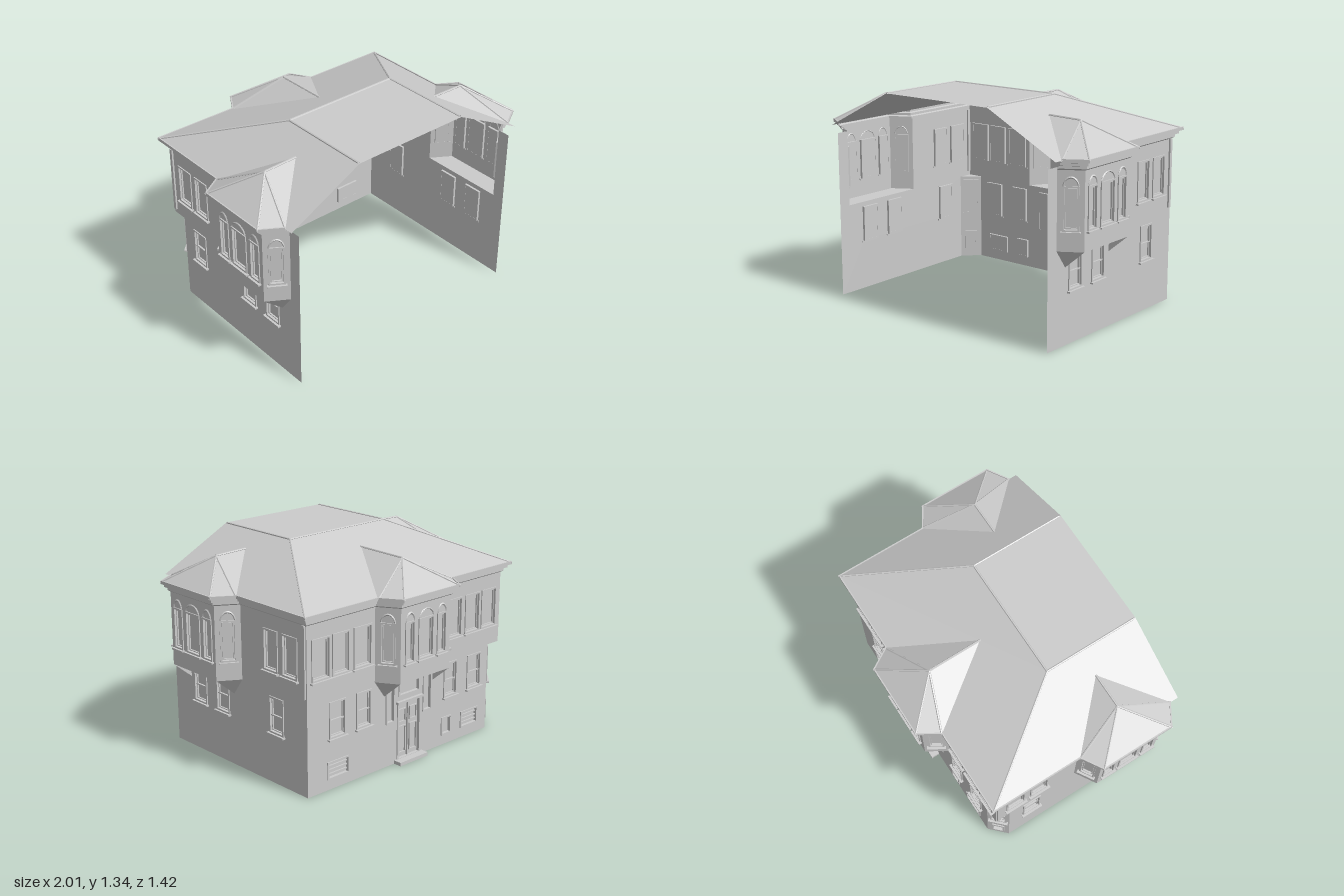
import * as THREE from 'three';

const grey = new THREE.MeshStandardMaterial({ color: 0xcccccc, side: THREE.DoubleSide, flatShading: true });

function mesh(geometry, name, parent, x = 0, y = 0, z = 0) {
  const m = new THREE.Mesh(geometry, grey);
  m.name = name;
  m.position.set(x, y, z);
  parent.add(m);
  return m;
}

const box = (name, parent, w, h, d, x, y, z) => mesh(new THREE.BoxGeometry(w, h, d), name, parent, x, y, z);

// Flat polygons, each a loop of [x, y, z] corners
function faces(polygons, name, parent) {
  const pos = [];
  for (const p of polygons)
    for (let i = 1; i < p.length - 1; i++) pos.push(...p[0], ...p[i], ...p[i + 1]);
  const g = new THREE.BufferGeometry();
  g.setAttribute('position', new THREE.Float32BufferAttribute(pos, 3));
  g.computeVertexNormals();
  return mesh(g, name, parent);
}

// Rectangular rim of four bars around an opening
function rim(name, parent, x, y, w, h, t, d, z) {
  for (const s of [-1, 1]) {
    box(name, parent, t, h + t, d, x + s * w / 2, y, z);
    box(name, parent, w - t, t, d, x, y + s * h / 2, z);
  }
}

// Recessed opening with glazing, frame, sill and optional bars or arch
function opening(parent, u, o) {
  const { w, y0, y1, kind } = o, h = y1 - y0, cy = (y0 + y1) / 2;
  const g = new THREE.Group();
  g.name = kind === 'door' ? 'door' : 'window';
  parent.add(g);
  mesh(new THREE.PlaneGeometry(w, h), 'pane', g, u, cy, -0.014);
  rim('frame', g, u, cy, w, h, 0.01, 0.022, -0.004);
  if (kind === 'door') {
    box('doorGap', g, 0.008, h, 0.012, u, cy, -0.008);
    for (const s of [-1, 1]) {
      rim('doorPanel', g, u + s * w / 4, y0 + 0.12, w * 0.3, 0.17, 0.006, 0.012, -0.01);
      rim('doorPanel', g, u + s * w / 4, y0 + 0.275, w * 0.3, 0.08, 0.006, 0.012, -0.01);
    }
    box('lintel', g, w + 0.03, 0.015, 0.03, u, y1 + 0.005, 0.005);
    return;
  }
  if (kind === 'grille') {
    for (let i = 1; i < 4; i++) box('bar', g, w, 0.007, 0.01, u, y0 + h * i / 4, -0.007);
    return;
  }
  if (kind === 'panel') return;
  rim('sash', g, u, cy, w - 0.024, h - 0.024, 0.005, 0.01, -0.009);
  if (kind === 'sash') box('crossbar', g, w, 0.008, 0.012, u, cy - 0.005, -0.008);
  box('sill', g, w + 0.03, 0.01, 0.026, u, y0 - 0.01, 0.008);
  if (kind === 'arch') {
    const arc = mesh(new THREE.TorusGeometry(w / 2, 0.005, 4, 12, Math.PI), 'archMoulding', g, u, y1, 0.002);
    arc.scale.y = 0.055 / (w / 2);
  }
}

// Wall from a to b (plan points, left to right seen from outside);
// each opening's c is its centre on the world axis given
function wall(parent, name, a, b, y0, y1, axis = 0, list = []) {
  const dx = b[0] - a[0], dz = b[1] - a[1], len = Math.hypot(dx, dz);
  const g = new THREE.Group();
  g.name = name;
  g.position.set(a[0], 0, a[1]);
  g.rotation.y = Math.atan2(-dz, dx);
  parent.add(g);
  const rect = (P, l, r, bt, t) => new P([[l, bt], [r, bt], [r, t], [l, t]].map(p => new THREE.Vector2(...p)));
  const shape = rect(THREE.Shape, 0, len, y0, y1);
  for (const o of list) {
    const u = (o.c - a[axis]) / (b[axis] - a[axis]) * len;
    shape.holes.push(rect(THREE.Path, u - o.w / 2, u + o.w / 2, o.y0, o.y1));
    opening(g, u, o);
  }
  mesh(new THREE.ShapeGeometry(shape), name + 'Surface', g);
}

const win = (y0, y1, kind) => (c, w) => ({ c, w, y0, y1, kind });
const arched = win(0.69, 0.935, 'arch'), upper = win(0.695, 0.937, 'plain');
const lower = win(0.32, 0.535, 'sash'), grille = win(0.07, 0.17, 'grille');

export function createModel() {
  const root = new THREE.Group();
  root.name = 'house';
  const flip = p => [-p[0], p[1]];
  const F = 0.57, T = 1.045, E = 1.09;

  // Upper storey plan: side bay, rear corner, half of the rear bay
  const half = [[0.82, 0.7], [0.82, 0.62], [0.95, 0.54], [0.95, 0.12], [0.82, 0.04],
    [0.82, -0.53], [0.29, -0.53], [0.21, -0.66]];
  const plan = [...half, ...half.map(flip).reverse()];
  const upperWalls = [
    ['sideWallEnd', 1, []],
    ['bayCheek', 1, [arched(0.58, 0.085)]],
    ['bayFront', 1, [arched(0.47, 0.075), arched(0.327, 0.125), arched(0.188, 0.075)]],
    ['bayCheek', 1, [arched(0.08, 0.085)]],
    ['upperSideWall', 1, [upper(-0.225, 0.115), upper(-0.39, 0.12)]],
    ['upperRearWall', 0, [upper(0.715, 0.13), upper(0.56, 0.125), upper(0.39, 0.135)]],
    ['rearBayCheek', 0, [arched(0.25, 0.085)]],
  ];
  upperWalls.forEach(([name, axis, list], i) => {
    wall(root, name, half[i], half[i + 1], F, T, axis, list);
    const mirrored = list.map(o => ({ ...o, c: axis === 0 ? -o.c : o.c }));
    wall(root, name, flip(half[i + 1]), flip(half[i]), F, T, axis, mirrored);
  });
  wall(root, 'rearBayFront', half[7], flip(half[7]), F, T, 0,
    [arched(0.135, 0.07), arched(0, 0.12), arched(-0.135, 0.07)]);

  // Lower storey with one cut-off rear corner
  const sideWindows = [lower(0.447, 0.115), lower(0.228, 0.115), lower(-0.268, 0.115)];
  wall(root, 'lowerSideWall', [0.82, 0.7], [0.82, -0.53], 0, F, 1, sideWindows);
  wall(root, 'lowerSideWall', [-0.82, -0.43], [-0.82, 0.7], 0, F, 1, sideWindows);
  wall(root, 'lowerRearWall', [0.82, -0.53], [-0.72, -0.53], 0, F, 0, [
    lower(0.59, 0.12), lower(0.38, 0.11), lower(-0.37, 0.11), lower(-0.59, 0.12),
    grille(0.585, 0.16), grille(-0.555, 0.15), win(0.07, 0.18, 'panel')(-0.34, 0.08),
    win(0.02, 0.385, 'door')(0, 0.19), win(0.43, 0.54, 'panel')(0, 0.17),
    win(0.28, 0.53, 'panel')(0.16, 0.065), win(0.28, 0.53, 'panel')(-0.16, 0.065)]);
  wall(root, 'cutCorner', [-0.72, -0.53], [-0.82, -0.43], 0, F, 0,
    [win(0.32, 0.545, 'sash')(-0.77, 0.095), win(0.06, 0.18, 'panel')(-0.77, 0.07)]);
  faces([[[-0.82, F, -0.53], [-0.72, F, -0.53], [-0.82, F, -0.43]]], 'cornerSoffit', root);
  box('doorStep', root, 0.24, 0.022, 0.06, 0, 0.011, -0.555);

  // Bay floors and their corner brackets
  const at = (p, y) => [p[0], y, p[1]];
  const bracket = (base, out, foot) => faces([
    [at(base, F), at(out, F), at(foot, 0.46)],
    [at(foot, F), at(out, F), at(foot, 0.46)],
    [at(base, F), at(foot, F), at(foot, 0.46)]], 'bayBracket', root);
  for (const m of [p => p, flip]) {
    faces([half.slice(1, 5).map(p => at(m(p), F))], 'bayFloor', root);
    bracket(m(half[1]), m(half[2]), m([0.82, 0.54]));
    bracket(m(half[4]), m(half[3]), m([0.82, 0.12]));
    bracket(m(half[6]), m(half[7]), m([0.21, -0.53]));
    const x = m([0.82, 0])[0];
    box('cornerPost', root, 0.022, 0.43, 0.022, x, 0.815, -0.512);
  }
  faces([[half[6], half[7], flip(half[7]), flip(half[6])].map(p => at(p, F))], 'rearBayFloor', root);

  // Mitred outward offset of the upper plan
  const offset = d => plan.slice(1, -1).map((p, k) => {
    const a = plan[k], c = plan[k + 2];
    const normal = (s, e) => new THREE.Vector2(s[1] - e[1], e[0] - s[0]).normalize();
    const n1 = normal(a, p), n = n1.clone().add(normal(p, c)).normalize();
    const s = d / n.dot(n1);
    return [p[0] + n.x * s, p[1] + n.y * s];
  });

  // Stepped cornice swept round the plan
  const profile = [[0, 1.03], [0.015, 1.04], [0.015, 1.055], [0.032, 1.06], [0.032, 1.075],
    [0.05, 1.08], [0.05, 1.1], [0.042, 1.1], [0.042, E]];
  const rings = profile.map(([d, y]) => offset(d).map(p => at(p, y)));
  const quads = [];
  for (let r = 0; r < rings.length - 1; r++)
    for (let i = 0; i < rings[r].length - 1; i++)
      quads.push([rings[r][i], rings[r][i + 1], rings[r + 1][i + 1], rings[r + 1][i]]);
  faces(quads, 'cornice', root);

  // Main hipped roof, open at the front
  const eave = offset(0.05).map(p => at(p, E));
  const X = 0.87, Z = -0.58, R = 0.39, H = 1.335;
  faces([
    [[-R, H, 0.7], [R, H, 0.7], [R, H, 0.09], [-R, H, 0.09]],
    [[X, E, Z], [-X, E, Z], [-R, H, 0.09], [R, H, 0.09]],
    ...[1, -1].map(s => [[s * X, E, 0.7], [s * X, E, Z], [s * R, H, 0.09], [s * R, H, 0.7]])], 'mainRoof', root);

  // Ridge and hip caps
  const cap = (a, b) => {
    const path = new THREE.LineCurve3(new THREE.Vector3(...a), new THREE.Vector3(...b));
    mesh(new THREE.TubeGeometry(path, 1, 0.007, 6), 'ridgeCap', root);
  };
  cap([-R, H, 0.09], [R, H, 0.09]);
  for (const s of [1, -1]) {
    cap([s * R, H, 0.09], [s * R, H, 0.69]);
    cap([s * X, E, Z], [s * R, H, 0.09]);
  }

  // Faceted bay roofs running back into the main roof
  const bayRoof = (rimPoints, apex, end) => {
    const [a, b, c, d] = rimPoints;
    faces([[a, b, apex], [b, c, apex], [c, d, apex], [a, apex, end], [d, apex, end]], 'bayRoof', root);
    for (const p of rimPoints) cap(p, apex);
    cap(apex, end);
  };
  bayRoof(eave.slice(0, 4), [0.76, 1.255, 0.33], [0.54, 1.26, 0.33]);
  bayRoof(eave.slice(-4), [-0.76, 1.255, 0.33], [-0.54, 1.26, 0.33]);
  bayRoof(eave.slice(5, 9), [0, 1.255, -0.46], [0, 1.26, -0.11]);
  return root;
}
